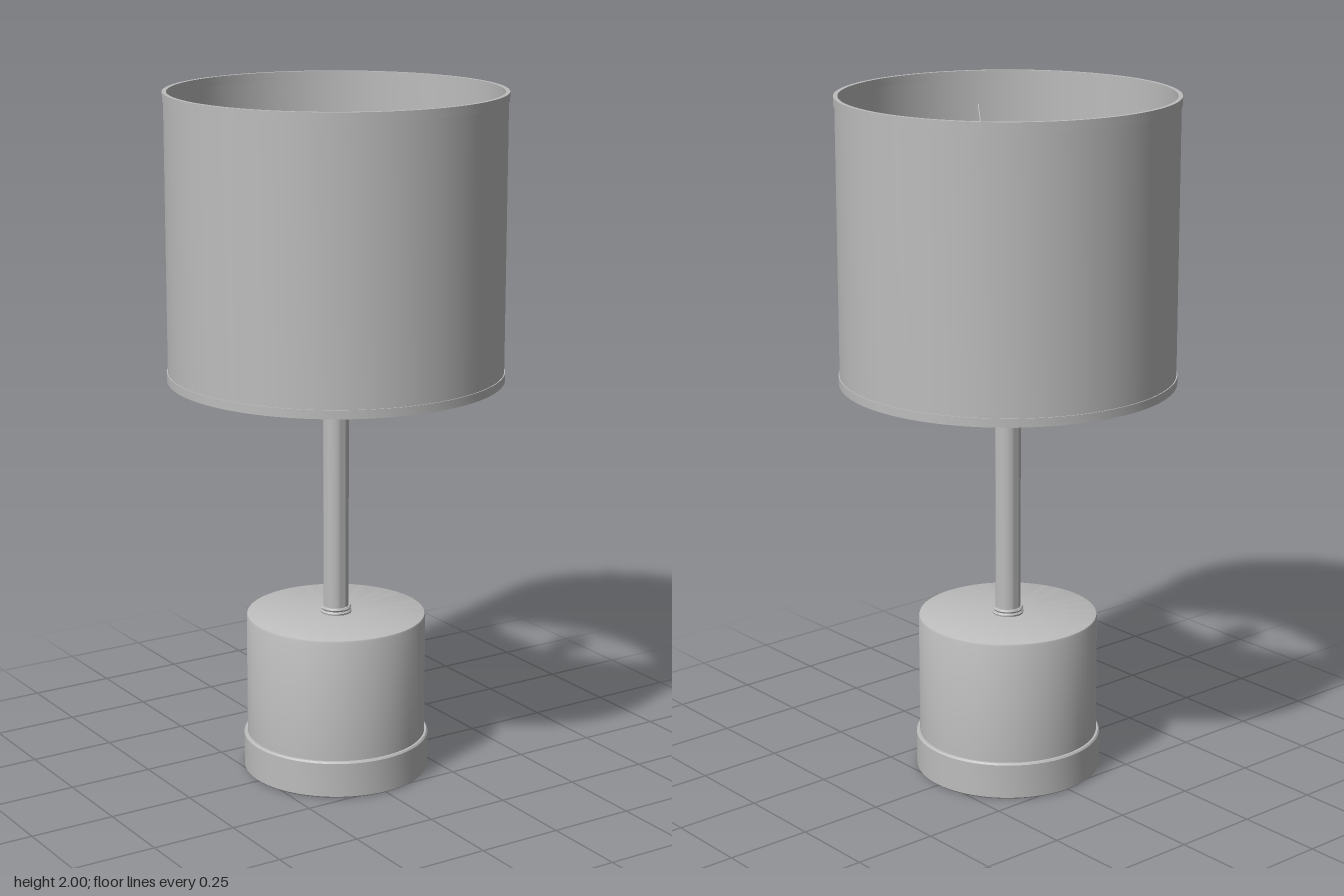
import * as THREE from 'three';
import { toCreasedNormals } from 'three/addons/utils/BufferGeometryUtils.js';

export function createModel() {
  const lamp = new THREE.Group();
  lamp.name = 'tableLamp';
  const grey = new THREE.MeshStandardMaterial({ color: 0xbdbdbd });
  grey.name = 'plainGrey';

  const add = (name, geometry) => {
    const mesh = new THREE.Mesh(geometry, grey);
    mesh.name = name;
    lamp.add(mesh);
    return mesh;
  };
  // Turned part from [radius, height] pairs, outer side listed upwards
  const turned = (name, profile, segments = 64) => {
    const points = profile.map(([r, y]) => new THREE.Vector2(r, y));
    return add(name, toCreasedNormals(new THREE.LatheGeometry(points, segments), 0.6));
  };

  // Base: a drum standing in a slightly wider foot band
  turned('footBand', [[0, 0], [0.268, 0], [0.272, 0.004], [0.272, 0.105], [0.268, 0.11], [0.255, 0.11]]);
  turned('baseDrum', [[0.262, 0.1], [0.262, 0.468], [0.26, 0.473], [0.255, 0.475], [0, 0.475]]);

  // Collar and stem with a thinner upper neck
  turned('collar', [[0.045, 0.475], [0.046, 0.48], [0.042, 0.485], [0.045, 0.49], [0.042, 0.495], [0.03, 0.495]], 32);
  turned('stem', [[0.037, 0.475], [0.037, 1.3], [0.033, 1.3], [0.033, 1.45]], 32);

  // Socket and bulb with a small tip
  turned('socket', [[0, 1.44], [0.038, 1.44], [0.038, 1.48], [0, 1.48]], 32);
  const bulb = [[0.03, 1.48], [0.035, 1.51]];
  for (let i = 0; i <= 10; i++) {
    const a = -0.6 + (i / 10) * (Math.PI / 2 + 0.6 - 0.12);
    bulb.push([0.06 * Math.cos(a), 1.57 + 0.06 * Math.sin(a)]);
  }
  bulb.push([0.007, 1.635], [0, 1.638]);
  turned('bulb', bulb, 32);

  // Open drum shade with thin walls
  turned('shade', [[0.474, 1.182], [0.48, 1.182], [0.48, 1.998], [0.474, 1.998], [0.474, 1.182]], 96);

  // Trim bands wrapped round both rims
  for (const [name, y] of [['bottomTrim', 1.18], ['topTrim', 1.975]]) {
    turned(name, [[0.471, y], [0.483, y], [0.483, y + 0.025], [0.471, y + 0.025], [0.471, y]], 96);
  }

  // Three wires rising from the neck to the shade
  const up = new THREE.Vector3(0, 1, 0);
  for (let i = 0; i < 3; i++) {
    const a = (i * Math.PI * 2) / 3;
    const at = (r, y) => new THREE.Vector3(r * Math.cos(a), y, r * Math.sin(a));
    const start = at(0.03, 1.37), end = at(0.475, 1.9);
    const wire = add('shadeWire' + (i + 1), new THREE.CylinderGeometry(0.002, 0.002, start.distanceTo(end), 8));
    wire.position.copy(start).lerp(end, 0.5);
    wire.quaternion.setFromUnitVectors(up, end.clone().sub(start).normalize());
  }
  return lamp;
}
